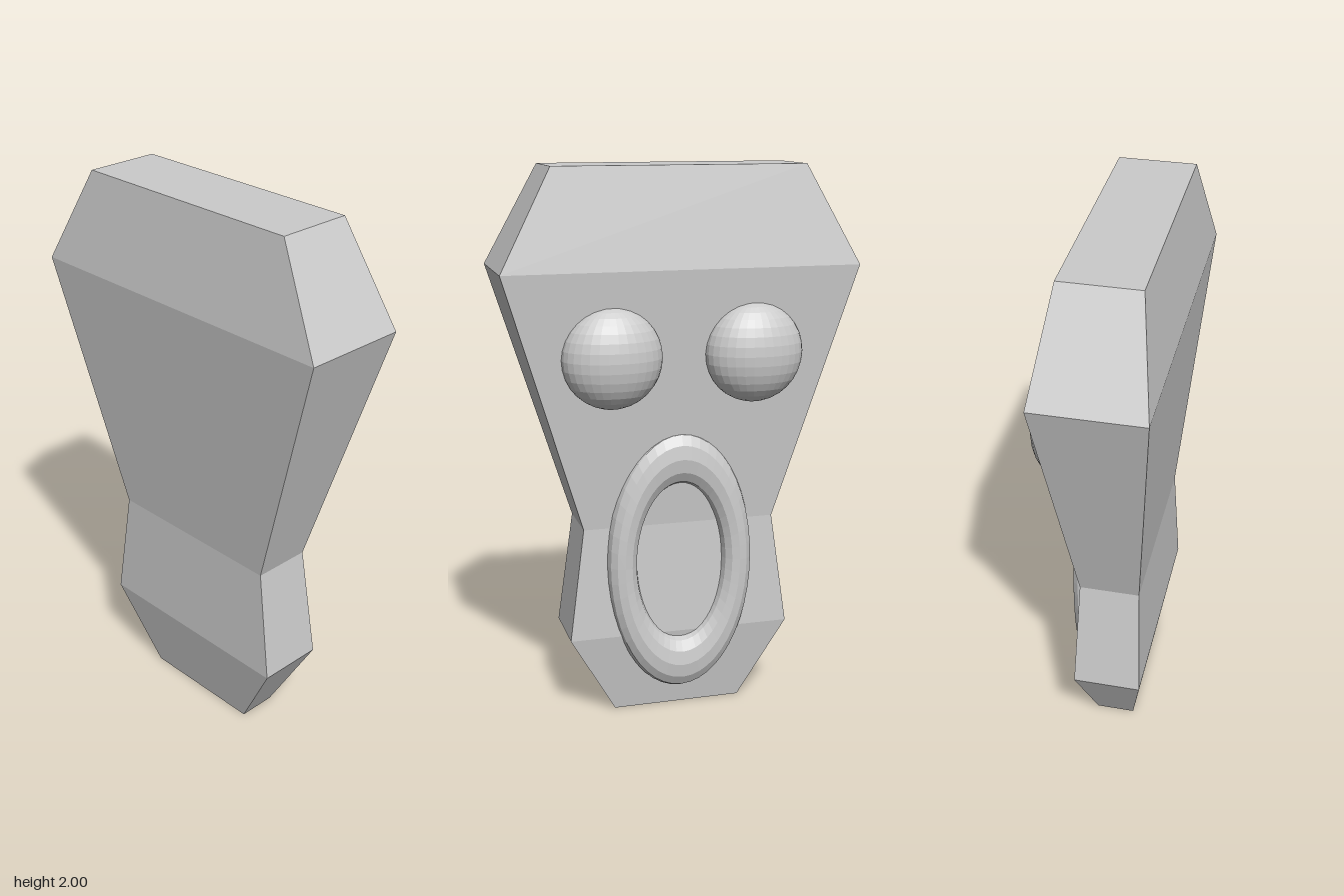
import * as THREE from 'three';

const material = new THREE.MeshStandardMaterial({ color: 0xcccccc, flatShading: true });

// Body levels from the bottom up: height, half width, front z, back z
const LEVELS = [
  [0, 0.24, 0.115, -0.025],
  [0.305, 0.412, 0.17, -0.075],
  [0.72, 0.355, 0.155, -0.06],
  [1.65, 0.64, 0.235, -0.148],
  [2, 0.453, 0.18, -0.092],
];

function part(name, geometry) {
  const mesh = new THREE.Mesh(geometry, material);
  mesh.name = name;
  return mesh;
}

// Slab: a segmented box whose rows are moved onto the levels
function bodyGeometry() {
  const rows = LEVELS.length - 1;
  const geometry = new THREE.BoxGeometry(2, rows, 2, 1, rows, 1);
  const pos = geometry.attributes.position;
  for (let i = 0; i < pos.count; i++) {
    const [y, halfWidth, front, back] = LEVELS[Math.round(pos.getY(i) + rows / 2)];
    pos.setXYZ(i, Math.sign(pos.getX(i)) * halfWidth, y, pos.getZ(i) > 0 ? front : back);
  }
  const flat = geometry.toNonIndexed();
  flat.computeVertexNormals();
  return flat;
}

export function createModel() {
  const model = new THREE.Group();
  model.name = 'mask';
  model.add(part('body', bodyGeometry()));

  // Flattened round eyes on the back
  for (const side of [-1, 1]) {
    const eye = part(side > 0 ? 'leftEye' : 'rightEye', new THREE.SphereGeometry(0.178, 32, 16));
    eye.scale.z = 0.65;
    eye.position.set(side * 0.257, 1.35, -0.12);
    model.add(eye);
  }

  // Tall ring mouth below the eyes
  const mouth = part('mouth', new THREE.TorusGeometry(0.216, 0.055, 12, 48));
  mouth.scale.y = 1.82;
  mouth.position.set(0, 0.578, -0.065);
  model.add(mouth);

  return model;
}
